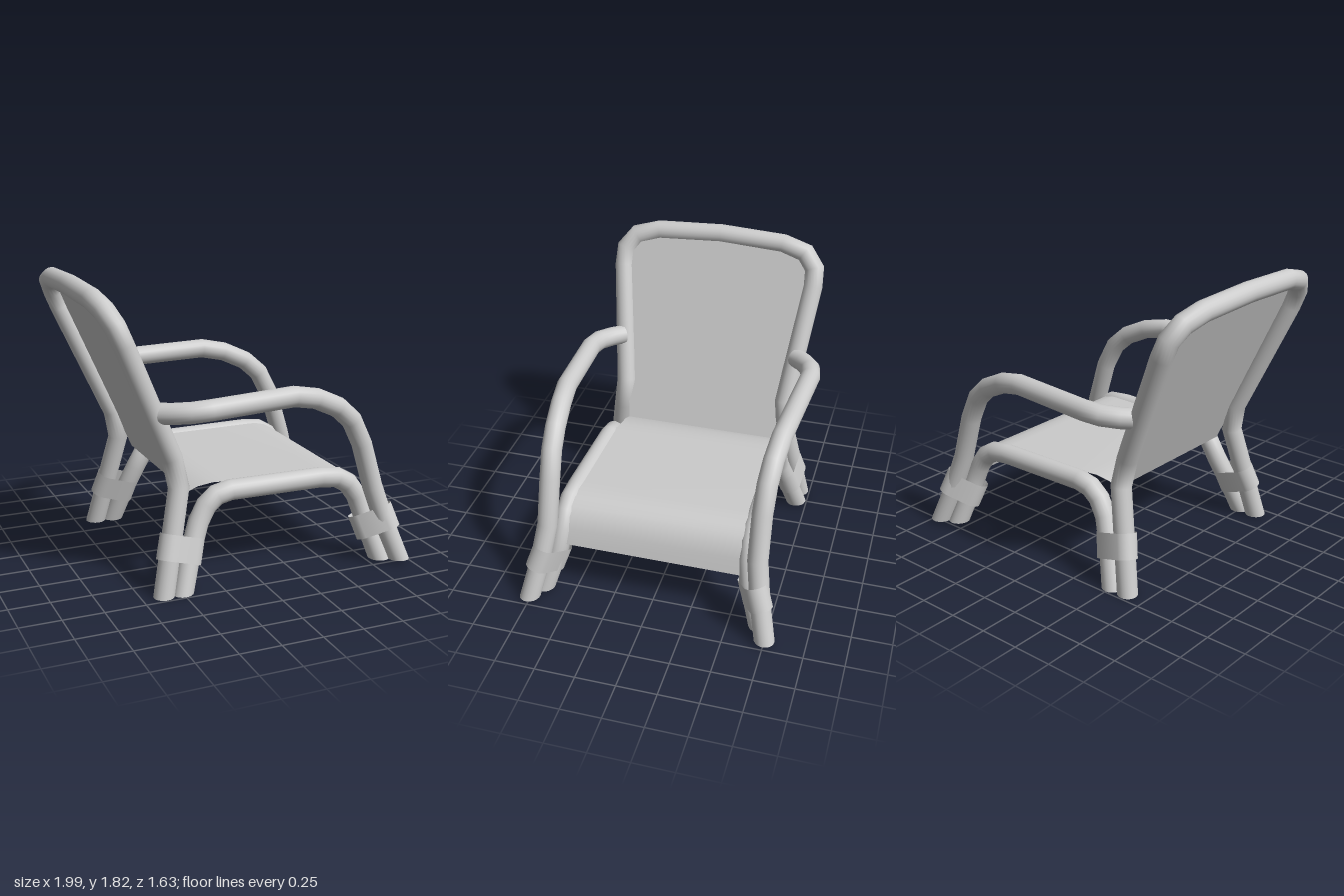
import * as THREE from 'three';

const SIDES = 20, R = 0.063;
const UP = new THREE.Vector3(0, 1, 0);
const vec = ([x, y, z], s = 1) => new THREE.Vector3(x, y, z * s);
// poles are hollow and sheets are thin, so both sides show
const mat = new THREE.MeshStandardMaterial({ color: 0xcccccc, side: THREE.DoubleSide });

function part(name, geometry) {
  const m = new THREE.Mesh(geometry, mat);
  m.name = name;
  return m;
}

// Round pole swept along straight runs with mitred bends; flat ends are sawn level with the floor
function pole(name, pts, flatStart, flatEnd) {
  const n = pts.length;
  const dirs = pts.slice(1).map((p, i) => p.clone().sub(pts[i]).normalize());
  const u = new THREE.Vector3(0.31, 0.2, 0.93).cross(dirs[0]).normalize();
  const v = dirs[0].clone().cross(u);
  let ring = Array.from({ length: SIDES }, (_, j) => {
    const a = (j / SIDES) * Math.PI * 2;
    return pts[0].clone().addScaledVector(u, R * Math.cos(a)).addScaledVector(v, R * Math.sin(a));
  });
  const pos = [], idx = [];
  pts.forEach((p, i) => {
    const d = dirs[Math.max(i - 1, 0)];
    let plane = d;
    if (i > 0 && i < n - 1) plane = d.clone().add(dirs[i]);
    else if (i === 0 ? flatStart : flatEnd) plane = UP;
    // slide every ring corner along the run until it meets the mitre plane
    ring = ring.map(q => q.clone().addScaledVector(d, p.clone().sub(q).dot(plane) / d.dot(plane)));
    ring.forEach(q => pos.push(q.x, q.y, q.z));
    if (i === n - 1) return;
    for (let j = 0; j < SIDES; j++) {
      const a = i * SIDES + j, b = i * SIDES + (j + 1) % SIDES;
      idx.push(a, b, a + SIDES, b, b + SIDES, a + SIDES);
    }
  });
  const g = new THREE.BufferGeometry();
  g.setAttribute('position', new THREE.Float32BufferAttribute(pos, 3));
  g.setIndex(idx);
  g.computeVertexNormals();
  return part(name, g);
}

// Oval band wrapped round a pair of poles
function binding(name, center, across, axis, spread) {
  const g = new THREE.CylinderGeometry(0.073, 0.073, 0.155, 24, 1, true, Math.PI / 24);
  const p = g.attributes.position;
  for (let i = 0; i < p.count; i++) p.setX(i, p.getX(i) + Math.sign(p.getX(i)) * spread / 2);
  const y = axis.normalize();
  const x = across.addScaledVector(y, -across.dot(y)).normalize();
  const m = part(name, g);
  m.applyMatrix4(new THREE.Matrix4().makeBasis(x, y, x.clone().cross(y)).setPosition(center));
  return m;
}

// Half of the back frame, from the middle of the top rail down to a rear foot
const frameHalf = [
  [-0.935, 1.757, 0], [-0.925, 1.74, 0.42], [-0.905, 1.7, 0.57], [-0.865, 1.617, 0.64],
  [-0.82, 1.51, 0.645], [-0.51, 0.8, 0.553], [-0.475, 0.62, 0.567], [-0.615, 0, 0.677],
];
// Seat rail, rear foot to front foot
const rail = [
  [-0.495, 0, 0.677], [-0.43, 0.2, 0.62], [-0.355, 0.385, 0.57], [-0.3, 0.485, 0.565],
  [-0.235, 0.54, 0.566], [-0.145, 0.56, 0.567], [0.45, 0.563, 0.58], [0.565, 0.55, 0.584],
  [0.64, 0.505, 0.588], [0.7, 0.42, 0.593], [0.745, 0.29, 0.61], [0.82, 0.02, 0.693],
];
// Armrest, back frame to front foot
const arm = [
  [-0.6, 1.088, 0.598], [-0.54, 1.096, 0.658], [-0.45, 1.107, 0.717], [-0.34, 1.116, 0.737],
  [0.195, 1.135, 0.711], [0.35, 1.103, 0.693], [0.505, 1.03, 0.677], [0.61, 0.935, 0.667],
  [0.69, 0.775, 0.66], [0.775, 0.49, 0.661], [0.85, 0.25, 0.698], [0.93, 0.02, 0.75],
];

function backPanel() {
  const half = frameHalf.slice(0, 6).map(([, y, z]) => [z, y + 0.015]).concat([[0.525, 0.72], [0.505, 0.56]]);
  const outline = [...half, ...half.slice(1).reverse().map(([z, y]) => [-z, y])];
  const g = new THREE.ShapeGeometry(new THREE.Shape(outline.map(p => new THREE.Vector2(...p))));
  // stand the sheet up on the sloping plane of the back
  const p = g.attributes.position;
  for (let i = 0; i < p.count; i++) {
    const z = p.getX(i), y = p.getY(i);
    p.setXYZ(i, -0.4 - (y - 0.56) * 0.411, y, z);
  }
  // the turn from x to z mirrors the sheet, so flip its faces to look forward
  g.index.array.reverse();
  g.computeVertexNormals();
  return part('backPanel', g);
}

function seatPanel() {
  // side profile: x, y, half width
  const profile = [
    [-0.4, 0.56, 0.505], [-0.33, 0.588, 0.51], [-0.24, 0.602, 0.515], [-0.145, 0.605, 0.535],
    [0.46, 0.605, 0.565], [0.53, 0.602, 0.57], [0.595, 0.587, 0.572], [0.65, 0.555, 0.572],
    [0.695, 0.505, 0.57], [0.73, 0.44, 0.567], [0.763, 0.34, 0.56],
  ];
  const g = new THREE.PlaneGeometry(1, 1, 1, profile.length - 1);
  const p = g.attributes.position;
  profile.forEach(([x, y, w], i) => {
    p.setXYZ(2 * i, x, y, w);
    p.setXYZ(2 * i + 1, x, y, -w);
  });
  // rows run front-down, so flip the faces to look up
  g.index.array.reverse();
  g.computeVertexNormals();
  return part('seatPanel', g);
}

export function createModel() {
  const chair = new THREE.Group();
  chair.name = 'armchair';

  const framePath = [
    ...frameHalf.slice(1).reverse().map(p => vec(p, -1)),
    ...frameHalf.map(p => vec(p)),
  ];
  chair.add(pole('backFrame', framePath, true, true), backPanel(), seatPanel());

  for (const [s, side] of [[1, 'left'], [-1, 'right']]) {
    chair.add(
      pole(side + 'SeatRail', rail.map(p => vec(p, s)), true, true),
      pole(side + 'Armrest', arm.map(p => vec(p, s)), false, true),
      binding(side + 'RearBinding', vec([-0.488, 0.257, 0.622], s), vec([0.255, -0.075, -0.02], s), vec([0.04, 0.14, -0.04], s), 0.14),
      binding(side + 'FrontBinding', vec([0.798, 0.257, 0.658], s), vec([0.235, 0.085, 0.13], s), vec([-0.045, 0.155, -0.052], s), 0.137),
    );
  }
  return chair;
}
